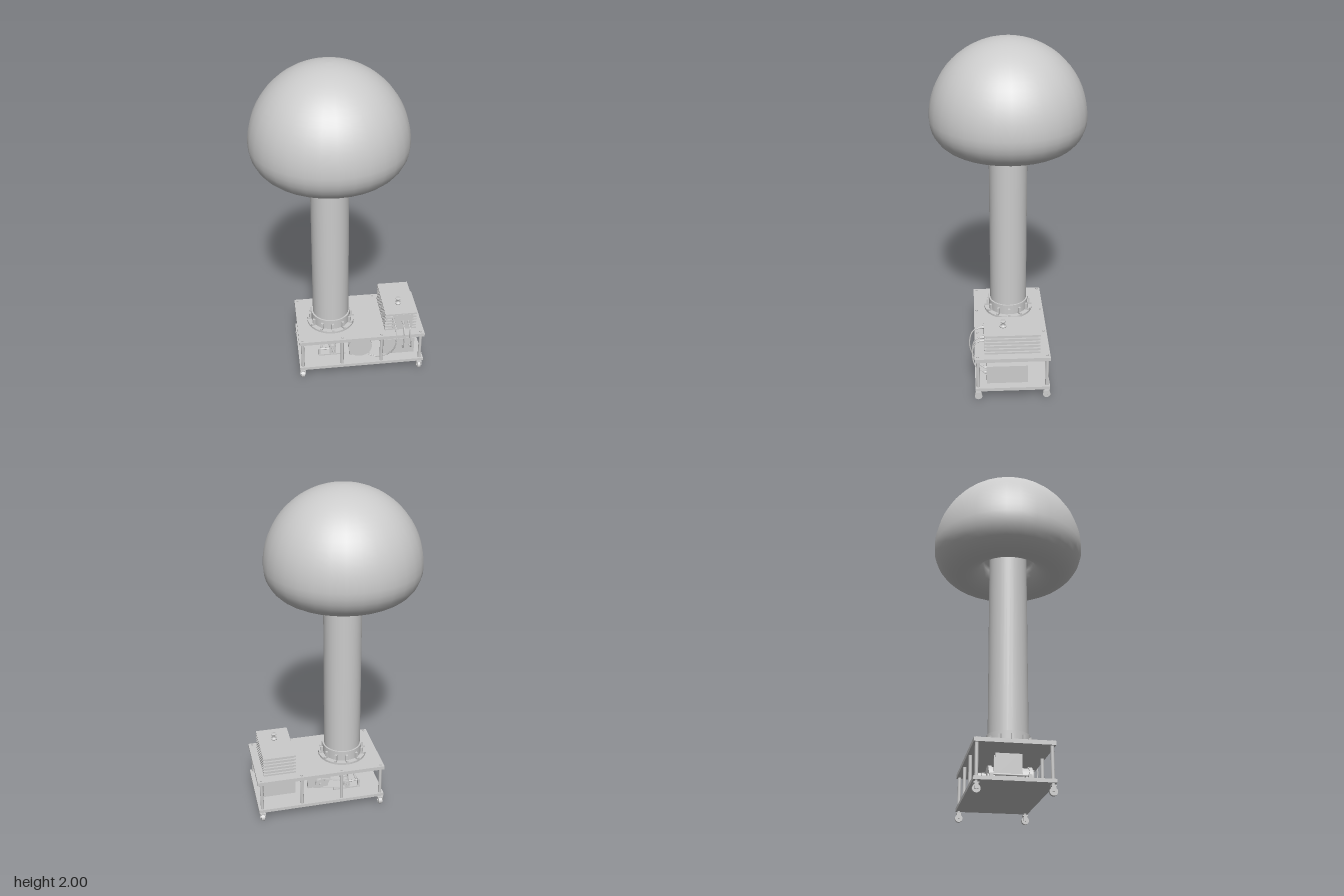
import * as THREE from 'three';

const material = new THREE.MeshStandardMaterial({ color: 0xcccccc, side: THREE.DoubleSide });
const COLUMN_X = -0.06;

export function createModel() {
  const model = new THREE.Group();
  model.name = 'beltGenerator';

  const add = (name, geometry, x = 0, y = 0, z = 0) => {
    const mesh = new THREE.Mesh(geometry, material);
    mesh.name = name;
    mesh.position.set(x, y, z);
    model.add(mesh);
    return mesh;
  };
  const box = (name, w, h, d, x, y, z) => add(name, new THREE.BoxGeometry(w, h, d), x, y, z);
  // Cylinder lying along x, y or z
  const rod = (name, r, length, axis, x, y, z, sides = 16) => {
    const g = new THREE.CylinderGeometry(r, r, length, sides);
    if (axis === 'z') g.rotateX(Math.PI / 2);
    if (axis === 'x') g.rotateZ(Math.PI / 2);
    return add(name, g, x, y, z);
  };
  const lathe = (name, points, sides, x, y, z) =>
    add(name, new THREE.LatheGeometry(points.map(p => new THREE.Vector2(...p)), sides), x, y, z);
  const tube = (name, points, r) => {
    const curve = new THREE.CatmullRomCurve3(points.map(p => new THREE.Vector3(...p)));
    return add(name, new THREE.TubeGeometry(curve, 28, r, 8), 0, 0, 0);
  };

  // Dome: curled inner lip, rounded rim, then a hemisphere
  const profile = [[0.113, 1.53]];
  for (let i = 0; i <= 8; i++) {
    const a = (i / 8) * Math.PI / 2;
    profile.push([0.28 - 0.13 * Math.cos(a), 1.5 - 0.135 * Math.sin(a)]);
  }
  for (let i = 1; i <= 8; i++) {
    const a = (i / 8) * Math.PI / 2;
    profile.push([0.28 + 0.17 * Math.sin(a), 1.55 - 0.185 * Math.cos(a)]);
  }
  for (let i = 1; i <= 16; i++) {
    const a = (i / 16) * Math.PI / 2;
    profile.push([0.45 * Math.cos(a), 1.55 + 0.45 * Math.sin(a)]);
  }
  lathe('dome', profile, 32, COLUMN_X, 0, 0);

  // Column with its base flange, collar and clamps
  rod('column', 0.113, 1.26, 'y', COLUMN_X, 0.92, 0, 32);
  rod('columnFlange', 0.15, 0.014, 'y', COLUMN_X, 0.295, 0, 32);
  rod('columnCollar', 0.122, 0.065, 'y', COLUMN_X, 0.333, 0, 32);
  for (let i = 0; i < 12; i++) {
    const a = (i / 12) * Math.PI * 2;
    const clamp = (r, w, h, y) => {
      box('columnClamp', w, h, 0.014, COLUMN_X + r * Math.cos(a), y, r * Math.sin(a)).rotation.y = -a;
    };
    clamp(0.136, 0.028, 0.012, 0.308);
    clamp(0.13, 0.014, 0.045, 0.322);
  }

  // Trolley decks, posts and casters
  box('upperDeck', 0.785, 0.023, 0.435, 0.115, 0.277, 0);
  box('lowerDeck', 0.785, 0.02, 0.435, 0.115, 0.076, 0);
  for (const z of [-0.2, 0.2]) {
    for (const x of [-0.257, -0.01, 0.238, 0.485]) {
      rod('post', 0.01, 0.185, 'y', x, 0.175, z, 12);
      rod('postBolt', 0.007, 0.008, 'y', x, 0.291, z, 6);
    }
    for (const x of [-0.26, 0.485]) {
      rod('casterWheel', 0.022, 0.02, 'x', x, 0.022, z, 20);
      rod('casterAxle', 0.006, 0.036, 'x', x, 0.024, z, 8);
      for (const s of [-1, 1]) box('casterFork', 0.004, 0.032, 0.022, x + s * 0.015, 0.036, z);
      box('casterTop', 0.034, 0.006, 0.03, x, 0.052, z);
      rod('casterStem', 0.008, 0.016, 'y', x, 0.06, z, 10);
    }
  }

  // Finned supply unit with front panel, sockets and top terminal
  box('supplyCore', 0.175, 0.12, 0.3, 0.363, 0.348, 0);
  for (let i = 0; i < 6; i++) box('supplyFin', 0.197, 0.011, 0.322, 0.363, 0.296 + i * 0.0225, 0);
  box('supplyPanel', 0.125, 0.11, 0.012, 0.375, 0.35, 0.156);
  lathe('topTerminal', [[0, 0], [0.02, 0], [0.02, 0.006], [0.008, 0.008], [0.007, 0.022],
    [0.016, 0.032], [0.016, 0.038], [0, 0.038]], 16, 0.363, 0.414, 0.05);
  for (const [x, y] of [[0.315, 0.38], [0.377, 0.352], [0.41, 0.352]]) {
    rod('socket', 0.009, 0.012, 'z', x, y, 0.165, 10);
    rod('plug', 0.006, 0.018, 'z', x, y, 0.175, 10);
  }

  // Control cabinet on the lower deck
  box('cabinet', 0.2, 0.118, 0.24, 0.36, 0.144, 0.03);
  for (const x of [0.385, 0.43]) rod('cabinetSocket', 0.008, 0.014, 'z', x, 0.145, 0.155, 10);

  // Cables looping over the deck edge
  tube('motorCable', [[0.315, 0.38, 0.18], [0.32, 0.36, 0.225], [0.322, 0.28, 0.247], [0.31, 0.19, 0.23],
    [0.27, 0.125, 0.2], [0.22, 0.1, 0.18], [0.16, 0.1, 0.155]], 0.004);
  tube('cabinetCable', [[0.377, 0.352, 0.18], [0.376, 0.335, 0.212], [0.373, 0.27, 0.23],
    [0.375, 0.19, 0.215], [0.385, 0.145, 0.162]], 0.004);
  tube('cabinetCable', [[0.41, 0.352, 0.18], [0.412, 0.335, 0.212], [0.414, 0.27, 0.23],
    [0.425, 0.19, 0.215], [0.43, 0.145, 0.162]], 0.004);

  // Motor lying front to back, with end bells, cradle and shaft
  rod('motorBody', 0.068, 0.23, 'z', 0.11, 0.17, 0.035, 32);
  for (const z of [-0.08, 0.15]) rod('motorEndBell', 0.075, 0.02, 'z', 0.11, 0.17, z, 32);
  for (const z of [-0.05, 0.12]) box('motorFoot', 0.13, 0.045, 0.03, 0.11, 0.106, z);
  rod('motorShaft', 0.008, 0.08, 'z', 0.11, 0.17, -0.12, 12);
  rod('motorPulley', 0.03, 0.022, 'z', 0.11, 0.17, -0.135, 24);

  // Lower belt roller on two bearing blocks
  rod('beltRoller', 0.024, 0.17, 'z', COLUMN_X, 0.135, 0, 20);
  rod('rollerShaft', 0.007, 0.31, 'z', COLUMN_X, 0.135, 0, 12);
  rod('rollerPulley', 0.02, 0.022, 'z', COLUMN_X, 0.135, -0.135, 20);
  for (const s of [-1, 1]) {
    rod('bearing', 0.021, 0.022, 'z', COLUMN_X, 0.135, s * 0.105, 16);
    box('bearingBlock', 0.04, 0.05, 0.02, COLUMN_X, 0.11, s * 0.105);
    box('bearingRail', 0.17, 0.01, 0.028, -0.065, 0.09, s * 0.105);
    box('tensionerPost', 0.012, 0.052, 0.02, -0.144, 0.112, s * 0.105);
    rod('tensionerScrew', 0.005, 0.08, 'x', -0.105, 0.13, s * 0.105, 8);
    // Charging belt rising into the column
    box('chargingBelt', 0.003, 0.15, 0.15, COLUMN_X + s * 0.024, 0.207, 0);
  }
  rod('chargingComb', 0.006, 0.2, 'z', -0.13, 0.135, 0, 10);

  // Drive belt strands between the two pulleys
  const angle = Math.atan2(0.035, 0.17);
  for (const s of [-1, 1]) {
    const strand = box('driveBelt', 0.175, 0.003, 0.014, 0.025 - s * 0.005, 0.1525 + s * 0.026, -0.135);
    strand.rotation.z = angle + s * 0.058;
  }

  return model;
}
